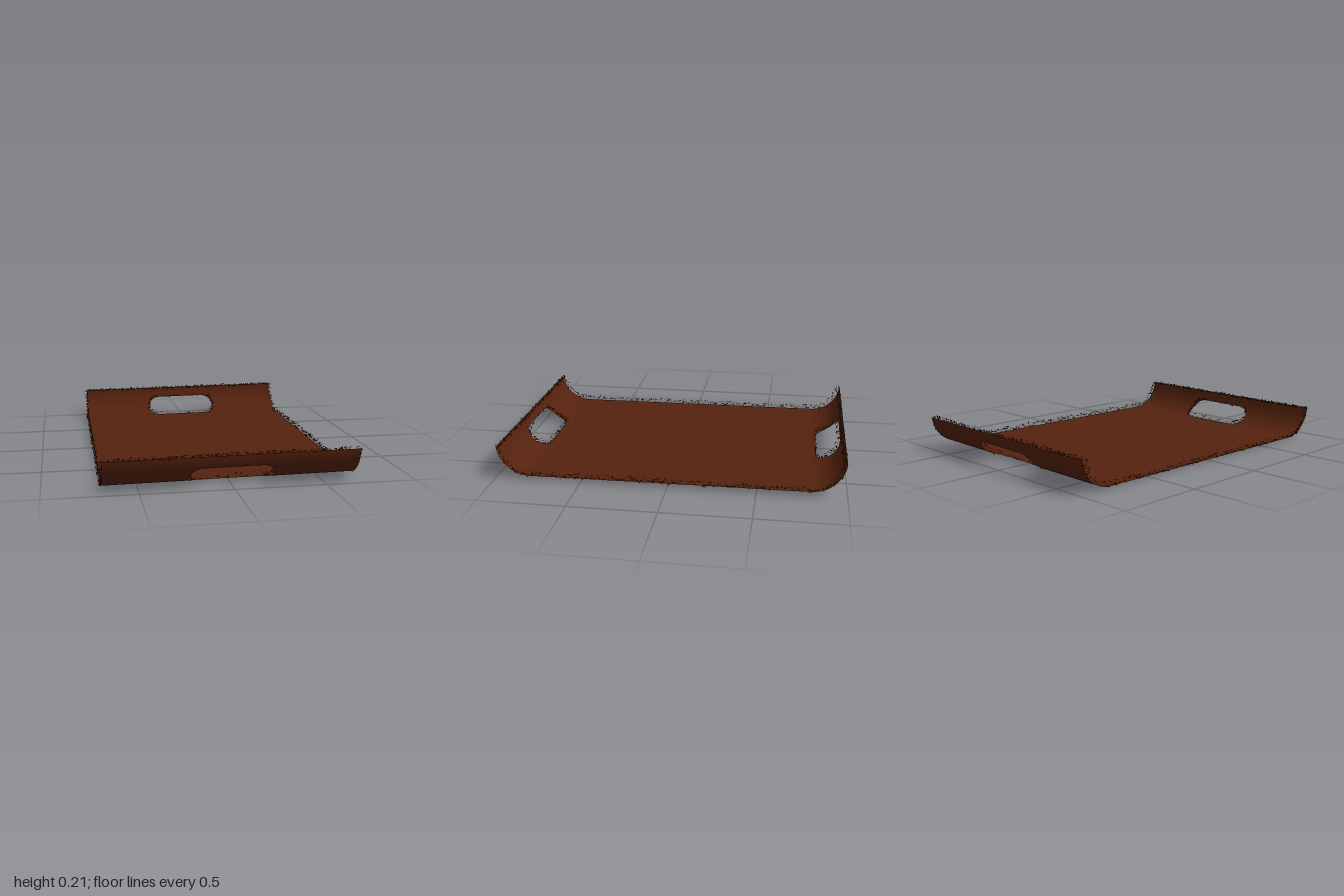
import * as THREE from 'three';

const FLAT = 0.8, BEND = 0.19;            // half length of floor, bend radius
const HALF_W = 0.688;                     // half width of the sheet
const A_END = 1.47, A_LOW = 0.16, A_HIGH = 1.1; // bend angles: rim, hole bottom, hole top
const HOLE_STRAIGHT = 0.165, HOLE_ROUND = 0.07;

// Point on the tray: x across, s along the bent profile, n inward off the sheet
function place(x, s, n = 0) {
  const u = Math.abs(s), sign = Math.sign(s) || 1;
  if (u <= FLAT) return [x, n, s];
  const a = (u - FLAT) / BEND, r = BEND - n;
  return [x, BEND - r * Math.cos(a), sign * (FLAT + r * Math.sin(a))];
}

// Sheet between two x limits (functions of s) over a list of s rows
function strip(name, material, rows, xa, xb) {
  const pos = [], idx = [], cols = 4;
  rows.forEach((s, i) => {
    for (let j = 0; j <= cols; j++) {
      pos.push(...place(THREE.MathUtils.lerp(xa(s), xb(s), j / cols), s));
      if (i && j) {
        const d = i * (cols + 1) + j, c = d - 1, b = d - cols - 1, a = b - 1;
        idx.push(a, c, b, b, c, d);
      }
    }
  });
  const g = new THREE.BufferGeometry();
  g.setAttribute('position', new THREE.Float32BufferAttribute(pos, 3));
  g.setIndex(idx);
  g.computeVertexNormals();
  const mesh = new THREE.Mesh(g, material);
  mesh.name = name;
  return mesh;
}

function seeded(seed) {
  return () => {
    seed = (seed * 1664525 + 1013904223) % 4294967296;
    return seed / 4294967296;
  };
}

// Small chips scattered along an edge path t -> [x, s]
function fringe(name, material, path, count, seed) {
  const rnd = seeded(seed), pos = [];
  for (let i = 0; i < count; i++) {
    const [x, s] = path((i + rnd()) / count);
    const n = rnd() * 0.027;
    for (let k = 0; k < 3; k++) {
      pos.push(...place(x + (rnd() - 0.5) * 0.026, s + (rnd() - 0.5) * 0.026, n + (rnd() - 0.5) * 0.014));
    }
  }
  const g = new THREE.BufferGeometry();
  g.setAttribute('position', new THREE.Float32BufferAttribute(pos, 3));
  g.computeVertexNormals();
  const mesh = new THREE.Mesh(g, material);
  mesh.name = name;
  return mesh;
}

export function createModel() {
  const brown = new THREE.MeshStandardMaterial({ color: 0x55220e, side: THREE.DoubleSide });
  brown.name = 'dark brown';
  const tray = new THREE.Group();
  tray.name = 'tray';

  const left = () => -HALF_W, right = () => HALF_W;
  const arc = (sign, a) => sign * (FLAT + a * BEND);
  const steps = (sign, a0, a1, n) =>
    Array.from({ length: n + 1 }, (_, i) => arc(sign, a0 + (a1 - a0) * i / n));

  // Flat floor
  tray.add(strip('floor', brown, [-FLAT, 0, FLAT], left, right));

  // Upturned ends, each with a rounded handle opening
  const sMid = FLAT + BEND * (A_LOW + A_HIGH) / 2, sHalf = BEND * (A_HIGH - A_LOW) / 2;
  const holeX = s => {
    const t = Math.min(1, Math.abs(Math.abs(s) - sMid) / sHalf);
    return HOLE_STRAIGHT + HOLE_ROUND * Math.sqrt(1 - t * t);
  };
  for (const sign of [-1, 1]) {
    const end = new THREE.Group();
    end.name = sign > 0 ? 'frontEnd' : 'backEnd';
    const holeRows = steps(sign, A_LOW, A_HIGH, 20);
    end.add(
      strip('lowerBend', brown, steps(sign, 0, A_LOW, 3), left, right),
      strip('besideHandleRight', brown, holeRows, left, s => -holeX(s)),
      strip('besideHandleLeft', brown, holeRows, holeX, right),
      strip('rim', brown, steps(sign, A_HIGH, A_END, 8), left, right),
      // Chipped edges of the rim and opening
      fringe('rimEdge', brown, t => [(t * 2 - 1) * HALF_W, arc(sign, A_END)], 230, 11 + sign),
      fringe('handleEdge', brown, t => {
        const a = t * Math.PI * 2, c = Math.cos(a);
        const x = THREE.MathUtils.clamp(c * 0.36, -HOLE_STRAIGHT, HOLE_STRAIGHT) + c * HOLE_ROUND;
        const v = Math.sign(Math.sin(a)) * Math.min(1, Math.abs(Math.sin(a)) * 1.15);
        return [x, sign * (sMid + sHalf * v)];
      }, 130, 31 + sign)
    );
    tray.add(end);

    // Chipped long edges
    const sEnd = FLAT + BEND * A_END;
    tray.add(fringe(sign > 0 ? 'leftEdge' : 'rightEdge', brown,
      t => [sign * (HALF_W + 0.002), (t * 2 - 1) * sEnd], 380, 51 + sign));
  }

  // The tray rests very slightly askew
  tray.rotation.set(0.005, 0, 0.009);
  tray.position.y = 0.02;
  const model = new THREE.Group();
  model.name = 'servingTray';
  model.add(tray);
  return model;
}
